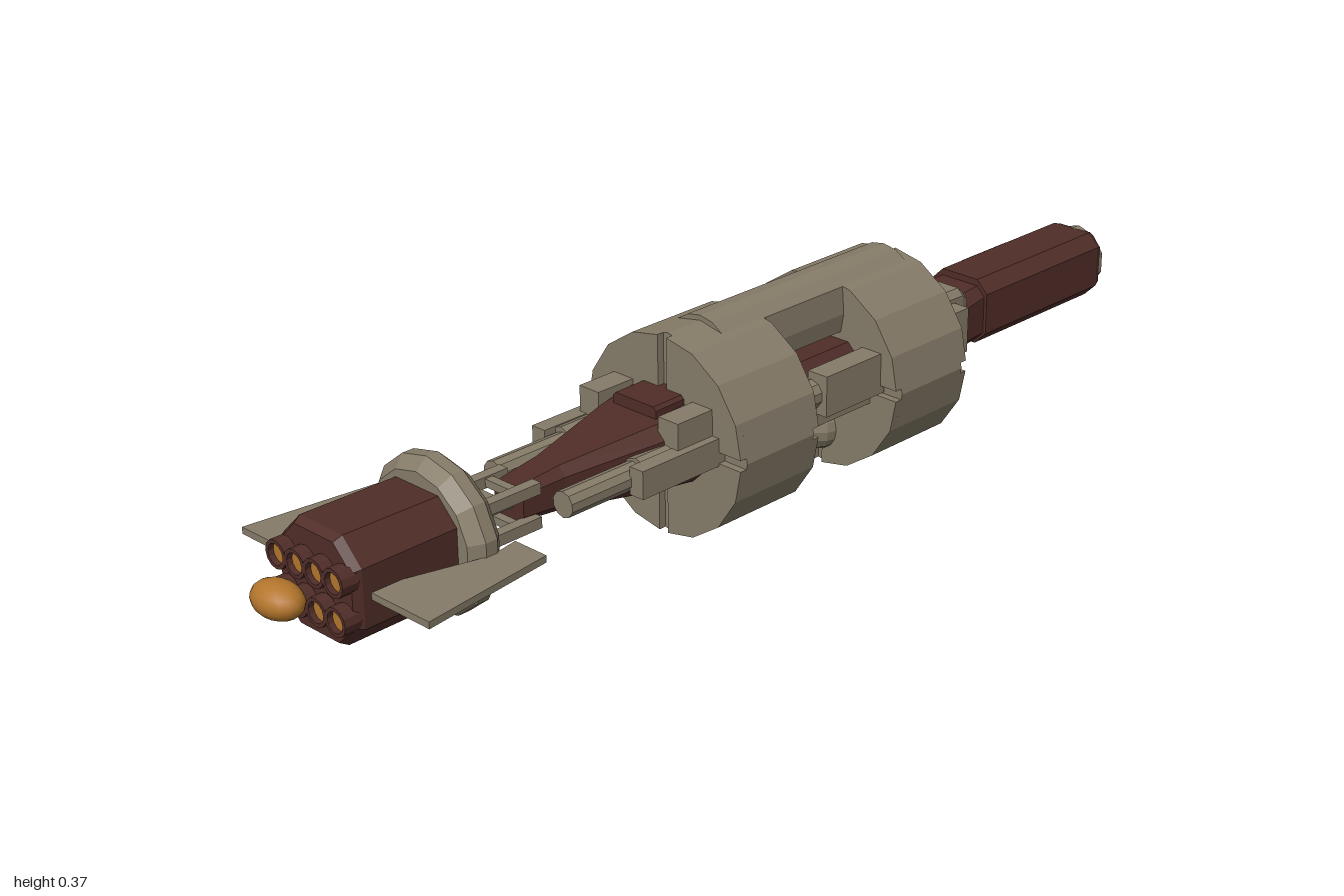
import * as THREE from 'three';

const AXIS = 0.18; // height of the long axis
const mat = (color) => new THREE.MeshStandardMaterial({ color, flatShading: true });
const grey = mat(0x857b68), brown = mat(0x502d28), orange = mat(0xb3752c);

export function createModel() {
  const root = new THREE.Group();

  const add = (name, geo, material, x = 0, y = 0, z = 0) => {
    const m = new THREE.Mesh(geo, material);
    m.name = name;
    m.position.set(x, y, z);
    root.add(m);
    return m;
  };
  const box = (name, material, x0, x1, y0, y1, z0, z1) =>
    add(name, new THREE.BoxGeometry(x1 - x0, y1 - y0, z1 - z0), material,
      (x0 + x1) / 2, (y0 + y1) / 2, (z0 + z1) / 2);
  const rod = (name, material, x, y, z0, z1, r, sides = 10) =>
    add(name, new THREE.CylinderGeometry(r, r, z1 - z0, sides).rotateX(Math.PI / 2),
      material, x, y, (z0 + z1) / 2);
  const slab = (name, material, shape, z0, z1) =>
    add(name, new THREE.ExtrudeGeometry(shape, { depth: z1 - z0, bevelEnabled: false, curveSegments: 6 }),
      material, 0, 0, z0);
  const shapeOf = (pts) => new THREE.Shape(pts.map(([x, y]) => new THREE.Vector2(x, y)));

  // Chamfered-rectangle sections [z, halfWidth, bottom, top, chamfer], ordered from back to front
  const loft = (name, material, sections) => {
    const rings = sections.map(([z, w, b, t, c]) => [
      [w, b + c, z], [w, t - c, z], [w - c, t, z], [-w + c, t, z],
      [-w, t - c, z], [-w, b + c, z], [-w + c, b, z], [w - c, b, z]]);
    const pos = [];
    const tri = (...p) => p.forEach((v) => pos.push(...v));
    for (let s = 0; s < rings.length - 1; s++) {
      const A = rings[s], B = rings[s + 1];
      for (let i = 0; i < 8; i++) {
        const j = (i + 1) % 8;
        tri(A[i], A[j], B[j]);
        tri(A[i], B[j], B[i]);
      }
    }
    const first = rings[0], last = rings[rings.length - 1];
    for (let i = 1; i < 7; i++) {
      tri(first[0], first[i + 1], first[i]);
      tri(last[0], last[i], last[i + 1]);
    }
    const g = new THREE.BufferGeometry();
    g.setAttribute('position', new THREE.Float32BufferAttribute(pos, 3));
    g.computeVertexNormals();
    return add(name, g, material);
  };

  // Ring of revolution about the long axis, from a closed [radius, z] profile
  const ring = (name, material, profile, sides) => {
    const g = new THREE.LatheGeometry(profile.map(([r, z]) => new THREE.Vector2(r, z)), sides);
    return add(name, g.rotateX(Math.PI / 2), material, 0, AXIS, 0);
  };

  // Floating tip
  const tip = add('tipBead', new THREE.SphereGeometry(1, 16, 12),
    new THREE.MeshStandardMaterial({ color: 0xb3752c }), 0, AXIS + 0.001, 0.962);
  tip.scale.set(0.05, 0.03, 0.036);

  // Head block with two rows of nozzles
  loft('headBlock', brown, [
    [0.64, 0.09, 0.09, 0.27, 0.04], [0.875, 0.092, 0.088, 0.272, 0.042], [0.89, 0.084, 0.096, 0.264, 0.038]]);
  for (const y of [0.147, 0.212]) {
    for (const x of [-0.0675, -0.0225, 0.0225, 0.0675]) {
      const collar = new THREE.Shape().absarc(x, y, 0.0245, 0, Math.PI * 2);
      collar.holes.push(new THREE.Path().absarc(x, y, 0.018, 0, Math.PI * 2, true));
      slab('nozzleCollar', brown, collar, 0.88, 0.912);
      rod('nozzleCore', orange, x, y, 0.88, 0.902, 0.0178, 12);
    }
  }

  // Collar behind the head
  ring('headCollar', grey, [
    [0.09, 0.628], [0.118, 0.628], [0.134, 0.645], [0.134, 0.668],
    [0.115, 0.69], [0.09, 0.69], [0.09, 0.628]], 14);

  // Side fins
  for (const s of [1, -1]) {
    const fin = shapeOf([[0.12, 0.6], [0.19, 0.6], [0.222, 0.86], [0.092, 0.86], [0.092, 0.8], [0.13, 0.66]]
      .map(([x, z]) => [s * x, z]));
    const g = new THREE.ExtrudeGeometry(fin, { depth: 0.012, bevelEnabled: false });
    add('fin', g.rotateX(Math.PI / 2), grey, 0, AXIS + 0.006, 0);
  }

  // Open cage of rails joining the head and the neck
  for (const x of [-0.039, 0.039]) {
    for (const y of [0.15, 0.21]) box('cageRail', grey, x - 0.01, x + 0.01, y - 0.01, y + 0.01, 0.48, 0.65);
  }
  for (const z of [0.52, 0.565, 0.61]) {
    for (const y of [0.15, 0.21]) box('cageRung', grey, -0.04, 0.04, y - 0.007, y + 0.007, z - 0.008, z + 0.008);
  }
  rod('cageCore', grey, 0, AXIS, 0.48, 0.65, 0.012, 8);

  // Front neck, middle body and rear neck in one spine
  loft('spine', brown, [
    [-0.63, 0.058, 0.13, 0.238, 0.018], [-0.56, 0.066, 0.13, 0.235, 0.02], [-0.42, 0.088, 0.12, 0.25, 0.022],
    [0.16, 0.092, 0.118, 0.252, 0.022], [0.24, 0.084, 0.125, 0.244, 0.022],
    [0.42, 0.042, 0.143, 0.222, 0.016], [0.505, 0.034, 0.15, 0.212, 0.012]]);
  loft('neckRidge', brown, [[0.1, 0.05, 0.2, 0.268, 0.006], [0.225, 0.05, 0.2, 0.266, 0.006]]);

  // Two drums, with cross grooves in both faces
  const R = 0.181;
  for (const [z0, z1] of [[-0.03, 0.16], [-0.42, -0.23]]) {
    rod('drumCore', grey, 0, AXIS, z0 + 0.014, z1 - 0.014, R, 16);
    for (const [f0, f1] of [[z0, z0 + 0.014], [z1 - 0.014, z1]]) {
      for (const [sx, sy] of [[1, 1], [-1, 1], [-1, -1], [1, -1]]) {
        const pts = [[0.01, 0.01], [R - 0.002, 0.01]];
        for (let i = 1; i < 4; i++) pts.push([R * Math.cos(i * Math.PI / 8), R * Math.sin(i * Math.PI / 8)]);
        pts.push([0.01, R - 0.002]);
        slab('drumFaceQuarter', grey, shapeOf(pts.map(([x, y]) => [sx * x, AXIS + sy * y])), f0, f1);
      }
    }
  }

  // Top housing bridging the drums
  slab('topHousing', grey, shapeOf([[-0.05, 0.265], [0.05, 0.265], [0.056, 0.3], [0.052, 0.35],
    [0.028, 0.365], [0, 0.37], [-0.028, 0.365], [-0.052, 0.35], [-0.056, 0.3]]), -0.4, 0.07);

  // Rounded lug under the body
  add('lowerLug', new THREE.SphereGeometry(0.045, 12, 8), grey, 0, 0.073, -0.235);

  // Side fittings, mirrored
  for (const s of [1, -1]) {
    const side = (name, x0, x1, ...rest) => box(name, grey, Math.min(s * x0, s * x1), Math.max(s * x0, s * x1), ...rest);
    rod('frontTube', grey, s * 0.082, 0.187, 0.15, 0.465, 0.023);
    rod('frontTubeSleeve', grey, s * 0.088, 0.187, 0.15, 0.31, 0.03);
    side('frontPlate', 0.07, 0.115, 0.205, 0.262, 0.14, 0.24);
    side('frontRail', 0.1, 0.13, 0.165, 0.215, 0.14, 0.335);
    side('middleRail', 0.085, 0.12, 0.15, 0.21, -0.24, -0.02);
    side('middlePlate', 0.1, 0.143, 0.175, 0.25, -0.24, -0.09);
    rod('middleTube', grey, s * 0.108, 0.21, -0.24, -0.02, 0.026);
    side('rearPlate', 0.075, 0.11, 0.16, 0.245, -0.51, -0.41);
  }

  // Rear cover behind the second drum
  loft('rearCover', grey, [[-0.555, 0.07, 0.205, 0.25, 0.012], [-0.535, 0.076, 0.205, 0.264, 0.012],
    [-0.41, 0.08, 0.205, 0.268, 0.012]]);

  // Rear grip, side block and hollow end cap
  loft('rearGrip', brown, [[-0.975, 0.06, 0.128, 0.246, 0.024], [-0.96, 0.065, 0.124, 0.25, 0.024],
    [-0.62, 0.065, 0.124, 0.25, 0.024]]);
  box('gripSideBlock', brown, -0.107, -0.06, 0.165, 0.21, -0.895, -0.76);
  const cap = ring('endCap', grey, [[0.034, -0.97], [0.034, -0.998], [0.05, -0.998], [0.062, -0.985],
    [0.062, -0.965], [0.034, -0.97]], 10);
  cap.position.y = 0.187;

  // Lathe rings show both faces
  root.traverse((o) => {
    if (o.name === 'headCollar' || o.name === 'endCap') {
      o.material = grey.clone();
      o.material.side = THREE.DoubleSide;
    }
  });
  return root;
}
